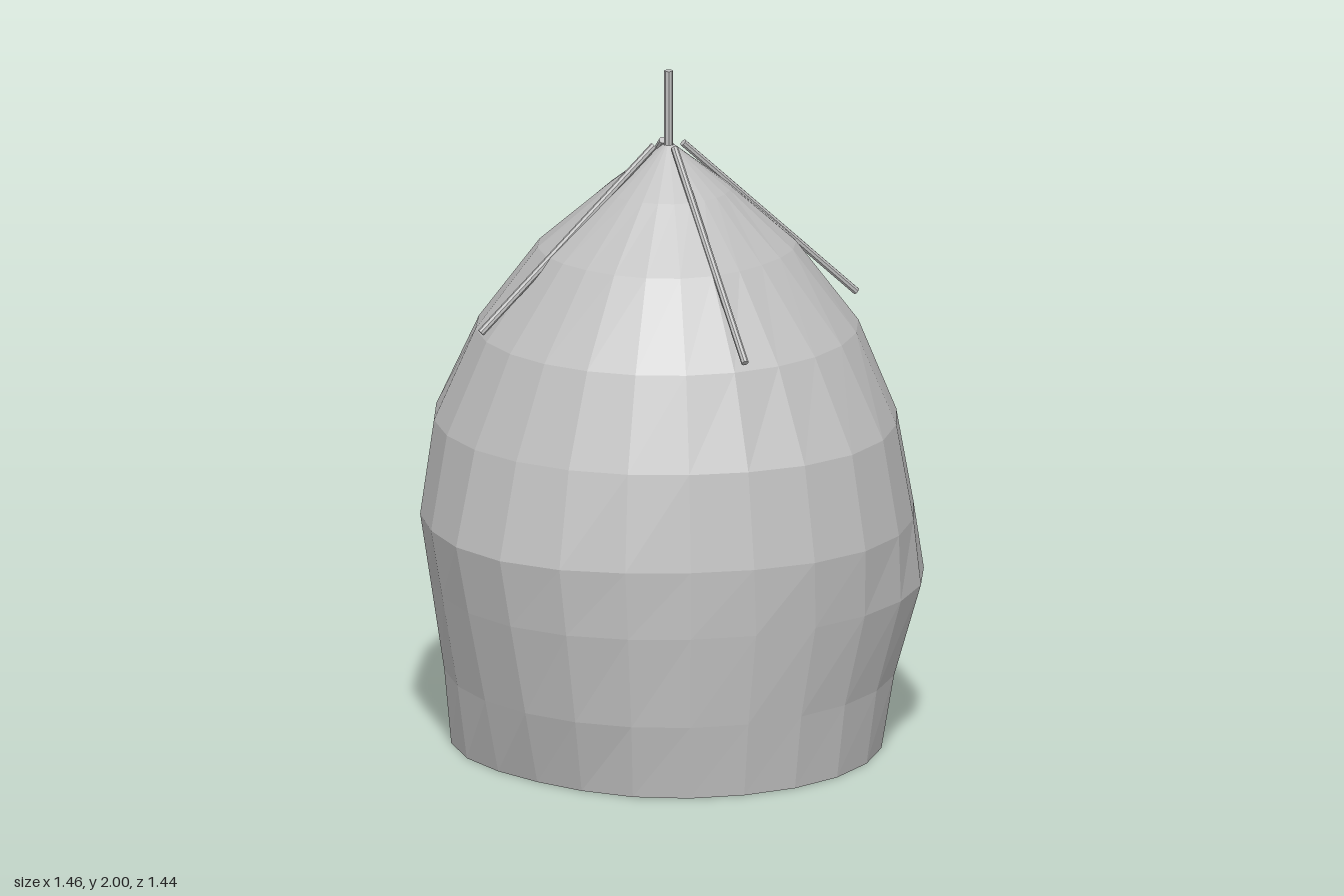
import * as THREE from 'three';

const CX = -0.01, CZ = 0.02; // axis of the dome
const SEGMENTS = 24;

// Each ring: height, reach to -x, +x, -z, +z,
// then bulge at the corners (+x+z), (+x-z), (-x-z), (-x+z)
const RINGS = [
  [0.00, -0.64, 0.61, -0.57, 0.67, 0.01, 0.04, 0.02, -0.035],
  [0.22, -0.66, 0.65, -0.63, 0.70, 0.00, 0.015, 0.01, 0.00],
  [0.49, -0.70, 0.73, -0.71, 0.72, 0.00, -0.04, 0.00, 0.025],
  [0.69, -0.73, 0.70, -0.72, 0.72, 0.03, -0.025, -0.025, 0.04],
  [0.97, -0.69, 0.65, -0.66, 0.67, 0.03, 0.00, 0.00, 0.005],
  [1.24, -0.57, 0.54, -0.54, 0.57, 0.00, 0.00, -0.02, 0.00],
  [1.48, -0.39, 0.36, -0.35, 0.39, -0.02, -0.01, -0.01, -0.01],
  [1.65, -0.19, 0.17, -0.16, 0.20, 0.00, 0.00, 0.00, 0.00],
  [1.78, -0.025, 0.005, 0.005, 0.035, 0.00, 0.00, 0.00, 0.00],
];

// Slightly lopsided faceted shell, open at the bottom
function domeGeometry() {
  const positions = [], indices = [];
  for (const [y, left, right, back, front, ...corners] of RINGS) {
    for (let j = 0; j < SEGMENTS; j++) {
      const angle = (j / SEGMENTS) * Math.PI * 2;
      const quadrant = Math.floor((j * 4) / SEGMENTS);
      const bulge = corners[quadrant] * Math.sin(2 * angle) ** 2;
      const s = Math.sin(angle), c = Math.cos(angle);
      positions.push(
        CX + s * ((s > 0 ? right - CX : CX - left) + bulge), y,
        CZ + c * ((c > 0 ? front - CZ : CZ - back) + bulge));
    }
  }
  for (let i = 0; i < RINGS.length - 1; i++) {
    for (let j = 0; j < SEGMENTS; j++) {
      const k = (j + 1) % SEGMENTS;
      const a = i * SEGMENTS + j, b = i * SEGMENTS + k;
      const d = a + SEGMENTS, e = b + SEGMENTS;
      indices.push(a, b, e, a, e, d);
    }
  }
  const geometry = new THREE.BufferGeometry();
  geometry.setAttribute('position', new THREE.Float32BufferAttribute(positions, 3));
  geometry.setIndex(indices);
  const flat = geometry.toNonIndexed();
  flat.computeVertexNormals();
  return flat;
}

// Thin round rod between two points
function rod(name, from, to, radius, material) {
  const direction = to.clone().sub(from);
  const mesh = new THREE.Mesh(
    new THREE.CylinderGeometry(radius, radius, direction.length(), 8), material);
  mesh.position.copy(from).add(to).multiplyScalar(0.5);
  mesh.quaternion.setFromUnitVectors(new THREE.Vector3(0, 1, 0), direction.normalize());
  mesh.name = name;
  return mesh;
}

export function createModel() {
  const grey = new THREE.MeshStandardMaterial({ color: 0xbfbfbf });
  grey.name = 'grey';
  grey.flatShading = true;
  grey.side = THREE.DoubleSide;

  const model = new THREE.Group();
  model.name = 'domedHut';

  const dome = new THREE.Mesh(domeGeometry(), grey);
  dome.name = 'domeShell';
  model.add(dome);

  // Upright pole at the peak
  model.add(rod('topPole', new THREE.Vector3(CX, 1.76, CZ),
    new THREE.Vector3(CX, 2, CZ), 0.013, grey));

  // Four sloping poles laid against the roof
  for (let i = 0; i < 4; i++) {
    const angle = 0.295 + (i * Math.PI) / 2;
    const at = (r, y) => new THREE.Vector3(
      CX + Math.sin(angle) * r, y, CZ + Math.cos(angle) * r);
    model.add(rod('roofPole' + (i + 1), at(0.045, 1.78), at(0.585, 1.276), 0.011, grey));
  }
  return model;
}
